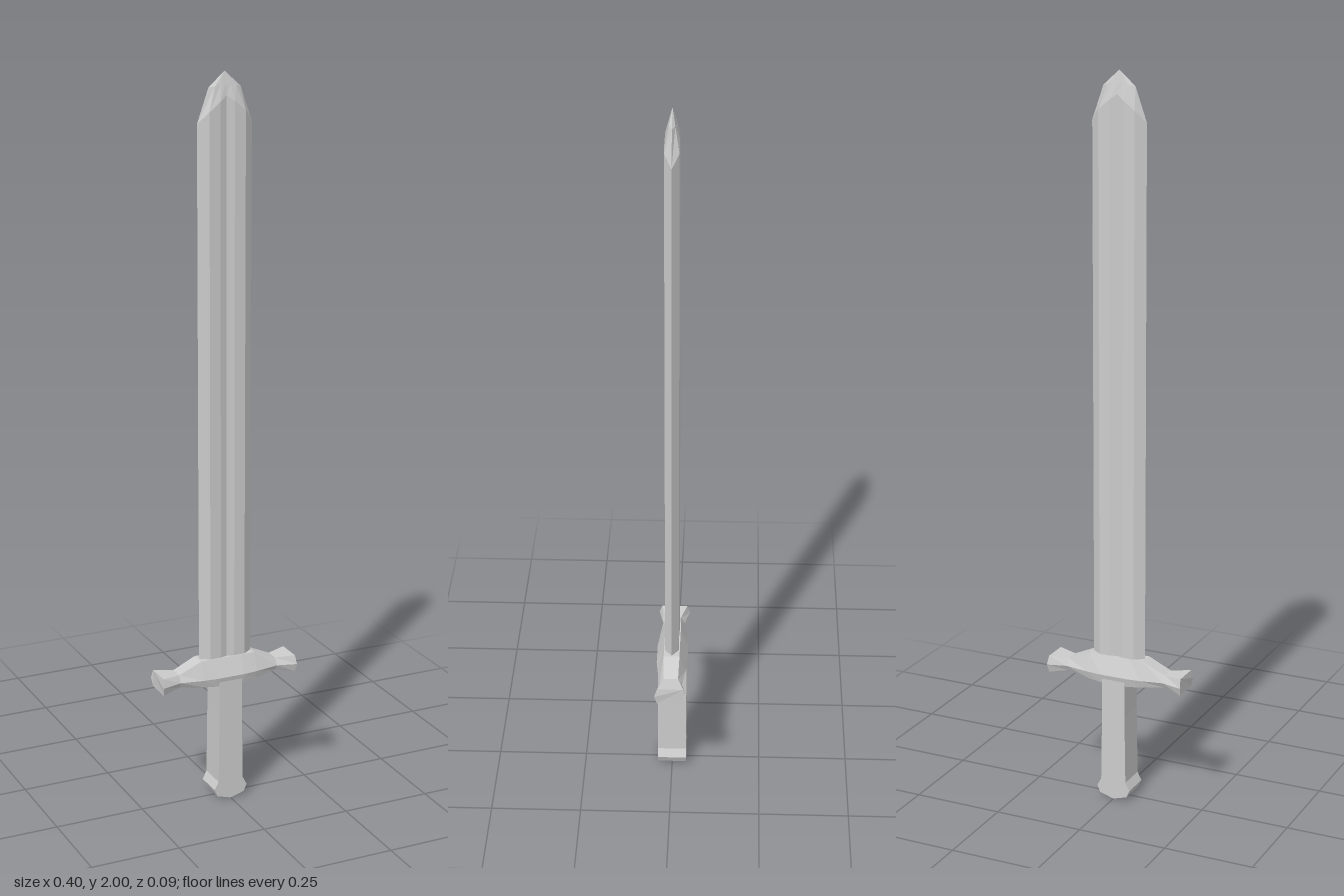
import * as THREE from 'three';

const material = new THREE.MeshStandardMaterial({ color: 0xcccccc, flatShading: true });

// Joins rings of [x, y, z] points (counter-clockwise about the loft axis) and caps both ends.
function loft(name, rings) {
  const out = [];
  const tri = (a, b, c) => out.push(...a, ...b, ...c);
  const n = rings[0].length;
  for (let i = 0; i < rings.length - 1; i++) {
    for (let j = 0; j < n; j++) {
      const k = (j + 1) % n;
      const a = rings[i][j], b = rings[i][k], c = rings[i + 1][k], d = rings[i + 1][j];
      tri(a, b, c);
      tri(a, c, d);
    }
  }
  const first = rings[0], last = rings[rings.length - 1];
  for (let j = 1; j < n - 1; j++) {
    tri(first[0], first[j + 1], first[j]);
    tri(last[0], last[j], last[j + 1]);
  }
  const geometry = new THREE.BufferGeometry();
  geometry.setAttribute('position', new THREE.Float32BufferAttribute(out, 3));
  geometry.computeVertexNormals();
  const mesh = new THREE.Mesh(geometry, material);
  mesh.name = name;
  return mesh;
}

// Blade ring from one quarter: groove centre, groove lip, bevel corner, cutting edge.
function bladeRing([centre, lip, corner, edge]) {
  const at = ([x, y, z], sx, sz) => [x * sx, y, z * sz];
  return [
    centre, at(lip, 1, 1), at(corner, 1, 1), edge, at(corner, 1, -1), at(lip, 1, -1),
    at(centre, 1, -1), at(lip, -1, -1), at(corner, -1, -1), at(edge, -1, 1), at(corner, -1, 1), at(lip, -1, 1),
  ];
}

function makeBlade() {
  const tip = [0, 2, 0];
  return loft('blade', [
    [[0, 0.38, 0.013], [0.02, 0.38, 0.019], [0.051, 0.38, 0.019], [0.077, 0.38, 0]],
    [[0, 1.94, 0.013], [0.02, 1.925, 0.019], [0.051, 1.9, 0.019], [0.077, 1.87, 0]],
    [[0, 1.97, 0.007], [0.014, 1.967, 0.008], [0.03, 1.963, 0.008], [0.045, 1.96, 0]],
    [tip, tip, tip, tip],
  ].map(bladeRing));
}

function makeGuard() {
  // x, top y, top half depth, middle y, middle half depth, bottom y, bottom half depth
  const half = [
    [0.04, 0.415, 0.022, 0.365, 0.043, 0.34, 0.037],
    [0.08, 0.415, 0.022, 0.365, 0.039, 0.344, 0.033],
    [0.145, 0.386, 0.02, 0.367, 0.031, 0.352, 0.023],
    [0.198, 0.39, 0.036, 0.366, 0.044, 0.342, 0.036],
  ];
  const ring = ([x, ty, tz, my, mz, by, bz]) => [
    [x, ty, -tz], [x, ty, tz], [x, my, mz], [x, by, bz], [x, by, -bz], [x, my, -mz],
  ];
  const mirrored = half.map(([x, ...rest]) => [-x, ...rest]).reverse();
  const rings = [...mirrored, ...half].map(ring);
  // End faces bulge slightly at mid height
  for (const [r, x] of [[rings[0], -0.201], [rings[rings.length - 1], 0.201]]) {
    r[2][0] = x;
    r[5][0] = x;
  }
  return loft('crossguard', rings);
}

// Grip with flared pommel, one outline extruded through its depth
function makeGrip() {
  const side = [[0.04, 0.012], [0.049, 0.032], [0.037, 0.055], [0.034, 0.25], [0.034, 0.36]];
  const points = [[0, 0], ...side, ...side.map(([x, y]) => [-x, y]).reverse()];
  const shape = new THREE.Shape(points.map(([x, y]) => new THREE.Vector2(x, y)));
  const geometry = new THREE.ExtrudeGeometry(shape, { depth: 0.08, bevelEnabled: false });
  geometry.translate(0, 0, -0.04);
  const mesh = new THREE.Mesh(geometry, material);
  mesh.name = 'grip';
  return mesh;
}

export function createModel() {
  const sword = new THREE.Group();
  sword.name = 'sword';
  sword.add(makeBlade(), makeGuard(), makeGrip());
  return sword;
}
